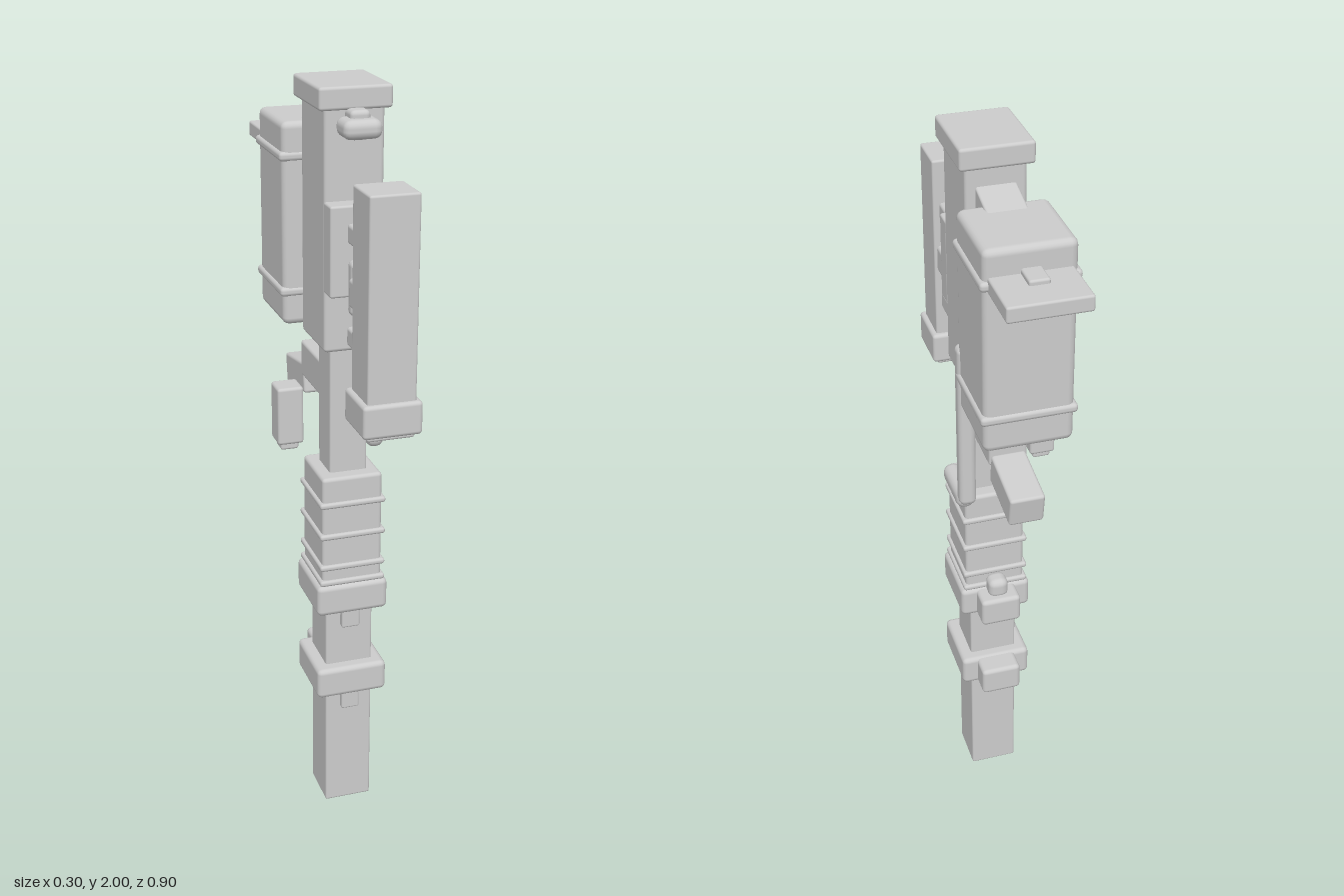
import * as THREE from 'three';
import { RoundedBoxGeometry } from 'three/addons/geometries/RoundedBoxGeometry.js';

const MID = 0.025; // x of the model's main axis

export function createModel() {
  const model = new THREE.Group();
  model.name = 'polearmDevice';
  const grey = new THREE.MeshStandardMaterial({ color: 0xcccccc });
  grey.name = 'light grey';

  // Rounded block given by its extents along each axis
  function block(name, [x0, x1], [y0, y1], [z0, z1], r = 0.008, tilt = 0) {
    const w = x1 - x0, h = y1 - y0, d = z1 - z0;
    const radius = Math.min(r, Math.min(w, h, d) * 0.45);
    const mesh = new THREE.Mesh(new RoundedBoxGeometry(w, h, d, 2, radius), grey);
    mesh.position.set((x0 + x1) / 2, (y0 + y1) / 2, (z0 + z1) / 2);
    mesh.rotation.x = tilt;
    mesh.name = name;
    model.add(mesh);
    return mesh;
  }
  // x extents of a part of width w on the main axis
  const mid = (w) => [MID - w / 2, MID + w / 2];

  // Shaft
  block('lowerShaft', mid(0.13), [0, 0.72], [0.003, 0.132], 0.006);
  block('upperShaft', mid(0.1), [0.95, 1.4], [0.019, 0.117], 0.006);

  // Ribbed grip sleeve
  block('gripSleeve', mid(0.162), [0.7, 1.01], [-0.019, 0.155], 0.01);
  for (const y of [0.71, 0.755, 0.845, 0.935]) {
    block('gripRib', mid(0.178), [y - 0.008, y + 0.008], [-0.027, 0.163], 0.007);
  }

  // Two collars, each with a rear clamp and a front tab
  for (const y of [0.36, 0.615]) {
    block('collar', mid(0.194), [y, y + 0.087], [-0.029, 0.166], 0.014);
    block('collarClamp', mid(0.11), [y, y + 0.083], [-0.086, 0], 0.012);
    block('collarTab', mid(0.05), [y - 0.053, y + 0.02], [0.11, 0.149], 0.005);
  }
  block('clampKnob', mid(0.055), [0.685, 0.745], [-0.066, -0.01], 0.02);

  // Main housing with cap and front plate
  block('housing', mid(0.15), [1.35, 1.96], [-0.042, 0.149], 0.01);
  block('housingCap', mid(0.182), [1.945, 2], [-0.057, 0.16], 0.008);
  block('frontPlate', mid(0.15), [1.505, 1.73], [0.14, 0.197], 0.006);

  // Small knob at the top of the housing
  block('topKnob', mid(0.096), [1.885, 1.932], [0.14, 0.222], 0.02);
  block('topKnobPeg', mid(0.05), [1.88, 1.95], [0.14, 0.195], 0.012);

  // Rear canister with bands, link and shelf
  block('canister', mid(0.222), [1.35, 1.876], [-0.311, -0.085], 0.018);
  for (const y of [1.44, 1.79]) {
    block('canisterBand', mid(0.238), [y - 0.012, y + 0.012], [-0.317, -0.081], 0.01);
  }
  block('canisterLink', mid(0.1), [1.765, 1.885], [-0.18, 0.0], 0.006, -0.25);
  block('rearShelf', mid(0.2), [1.772, 1.812], [-0.45, -0.29], 0.006);
  block('shelfPeg', mid(0.05), [1.762, 1.824], [-0.372, -0.29], 0.006);

  // Trigger grip under the canister
  block('gripArm', mid(0.1), [1.19, 1.288], [-0.142, 0.06], 0.008);
  block('gripHandle', mid(0.09), [1.125, 1.209], [-0.302, -0.13], 0.008, -0.16);

  // Side lever with its foot
  block('leverRod', [0.098, 0.143], [1.055, 1.52], [-0.112, -0.068], 0.016);
  block('leverFoot', [0.099, 0.147], [1.035, 1.085], [-0.098, 0.058], 0.022);

  // Forward battery block on its base
  block('batteryBlock', mid(0.122), [1.3, 1.812], [0.317, 0.438], 0.006);
  block('batteryBase', mid(0.148), [1.236, 1.32], [0.304, 0.45], 0.01);
  block('batteryFoot', mid(0.118), [1.224, 1.25], [0.319, 0.434], 0.006);
  for (const y of [1.42, 1.673]) {
    block('batteryPost', mid(0.088), [y - 0.024, y + 0.024], [0.227, 0.33], 0.008);
  }
  block('batteryLatch', mid(0.106), [1.505, 1.578], [0.265, 0.33], 0.01);
  block('latchStem', mid(0.07), [1.515, 1.568], [0.24, 0.28], 0.005);
  block('latchPlate', mid(0.088), [1.475, 1.612], [0.228, 0.265], 0.014);

  // Side pod
  block('sidePod', [-0.152, -0.084], [1.088, 1.242], [0.015, 0.084], 0.008);
  block('sidePodTip', [-0.142, -0.095], [1.07, 1.11], [0.026, 0.073], 0.006);

  return model;
}
